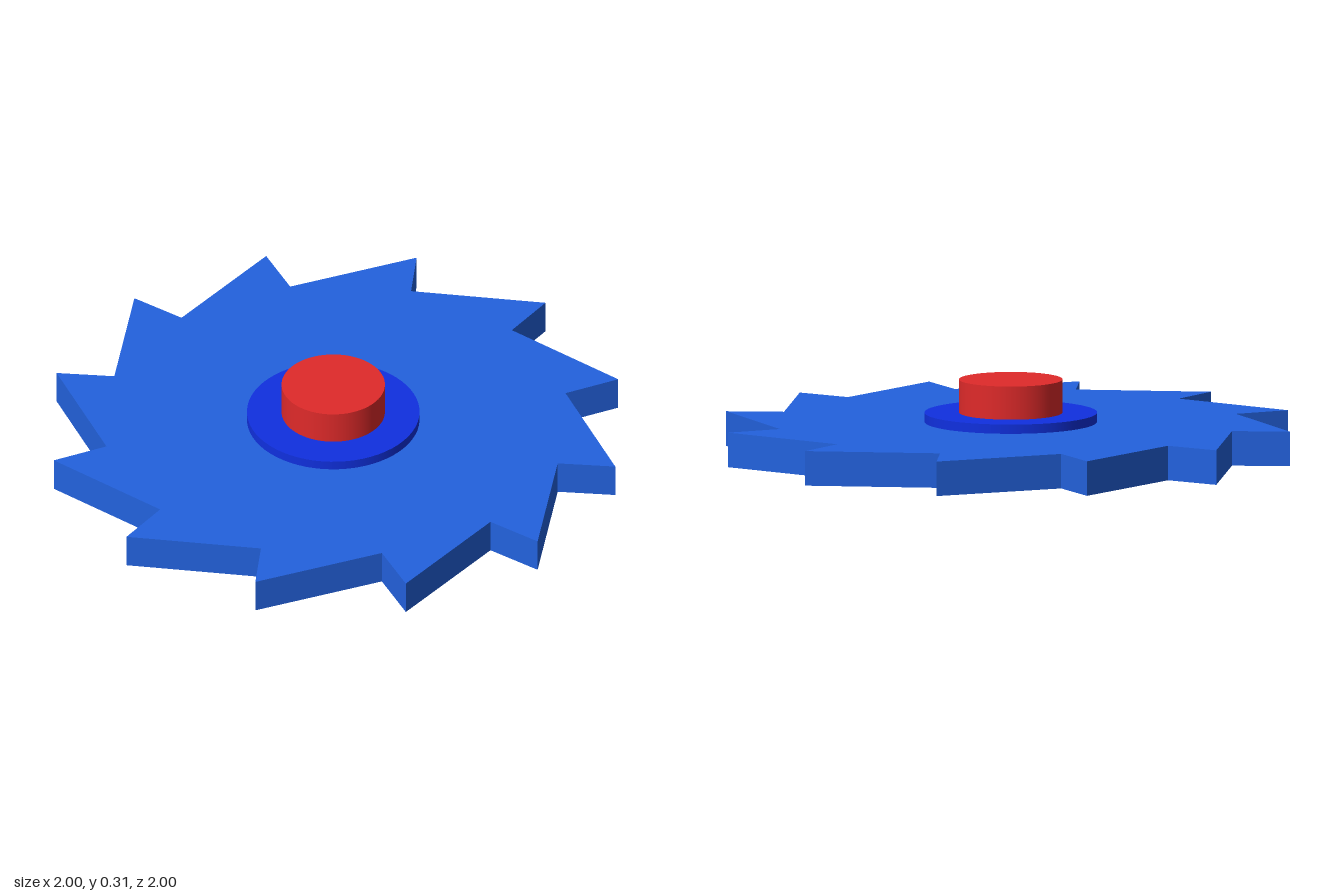
import * as THREE from 'three';

const TEETH = 12;
const ROOT_RADIUS = 0.805;
const TIP_RADIUS = 1.0;
const TIP_LEAD = THREE.MathUtils.degToRad(2.6);
const HUB_X = -0.01;

function part(name, geometry, color) {
  const mesh = new THREE.Mesh(geometry, new THREE.MeshStandardMaterial({ color }));
  mesh.name = name;
  return mesh;
}

// Upright cylinder on the hub axis, from height y0 to y1
function disc(name, radius, y0, y1, color) {
  const mesh = part(name, new THREE.CylinderGeometry(radius, radius, y1 - y0, 64), color);
  mesh.position.set(HUB_X, (y0 + y1) / 2, 0);
  return mesh;
}

// Ratchet outline: each root is followed by a steep rise to a sharp tip
function bladeShape() {
  const points = [];
  const polar = (r, a) => points.push(new THREE.Vector2(r * Math.cos(a), r * Math.sin(a)));
  for (let i = 0; i < TEETH; i++) {
    const a = (i / TEETH) * Math.PI * 2;
    polar(ROOT_RADIUS, a);
    polar(TIP_RADIUS, a + TIP_LEAD);
  }
  return new THREE.Shape(points);
}

export function createModel() {
  const model = new THREE.Group();
  model.name = 'sawBlade';

  // Toothed plate, laid flat
  const plate = new THREE.ExtrudeGeometry(bladeShape(), { depth: 0.12, bevelEnabled: false });
  plate.rotateX(-Math.PI / 2);
  plate.translate(0, 0.045, 0);
  model.add(part('toothedBlade', plate, 0x2362de));

  // Washer and the shaft through the middle
  model.add(disc('washer', 0.297, 0.165, 0.197, 0x1030e0));
  model.add(disc('shaft', 0.178, 0, 0.312, 0xe02a2a));
  return model;
}
